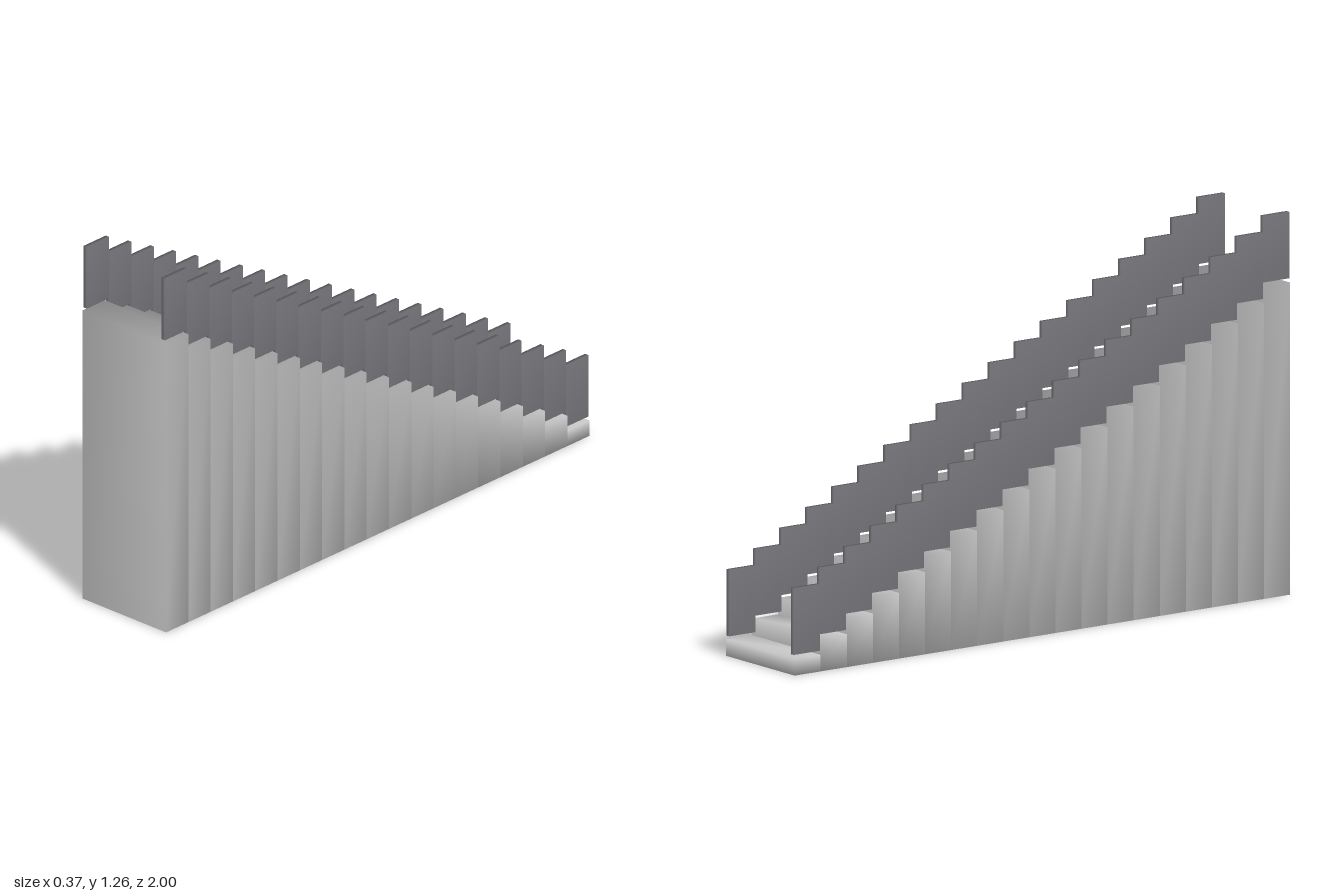
import * as THREE from 'three';
import { mergeVertices } from 'three/addons/utils/BufferGeometryUtils.js';

const STEPS = 19;
const DEPTH = 2 / STEPS;
const RISE = 1.032 / STEPS;
const WIDTH = 0.37;
const RAIL = { x: 0.1725, thickness: 0.015, height: 0.22, gap: 0.013 };

// Box whose corners share one averaged normal, for soft shading
function softBox(w, h, d) {
  const box = new THREE.BoxGeometry(w, h, d);
  box.deleteAttribute('normal');
  box.deleteAttribute('uv');
  const geometry = mergeVertices(box);
  geometry.computeVertexNormals();
  return geometry;
}

export function createModel() {
  const stairs = new THREE.Group();
  stairs.name = 'staircase';
  const stepMaterial = new THREE.MeshStandardMaterial({ color: 0xcccccc });
  const railMaterial = new THREE.MeshStandardMaterial({ color: 0x75757a });
  const railGeometry = softBox(RAIL.thickness, RAIL.height, DEPTH);

  const add = (name, geometry, material, x, y, z) => {
    const mesh = new THREE.Mesh(geometry, material);
    mesh.name = name;
    mesh.position.set(x, y, z);
    stairs.add(mesh);
  };

  // Solid steps rise from the back to the front, each with a panel on both sides
  for (let i = 0; i < STEPS; i++) {
    const top = RISE * (i + 1);
    const z = -1 + DEPTH * (i + 0.5);
    add(`step${i + 1}`, softBox(WIDTH, top, DEPTH), stepMaterial, 0, top / 2, z);

    const railY = top + RAIL.gap + RAIL.height / 2;
    add(`leftRailPanel${i + 1}`, railGeometry, railMaterial, RAIL.x, railY, z);
    add(`rightRailPanel${i + 1}`, railGeometry, railMaterial, -RAIL.x, railY, z);
  }
  return stairs;
}
